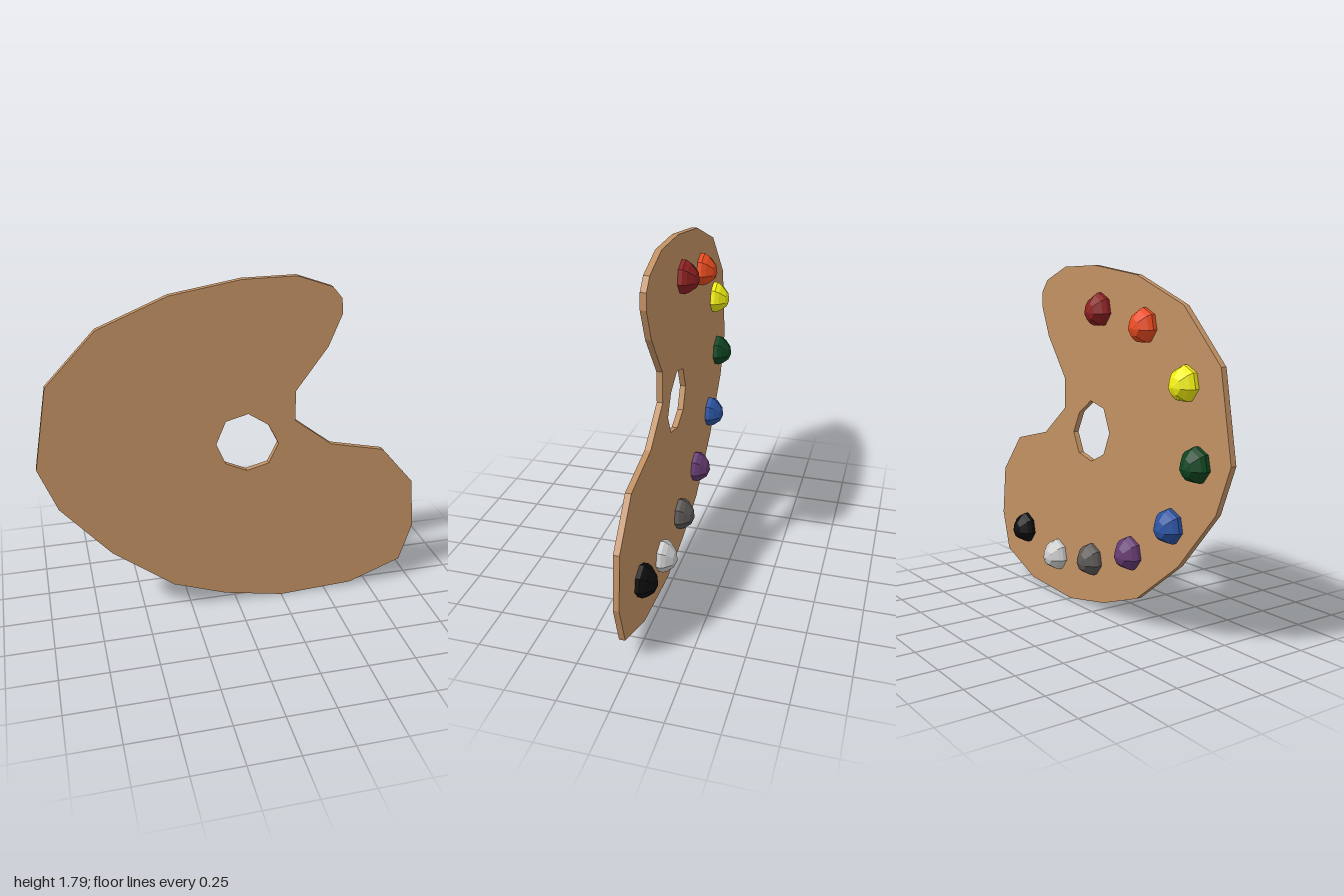
import * as THREE from 'three';

const material = (color) => new THREE.MeshStandardMaterial({ color, flatShading: true });
const points = (list) => list.map(([x, y]) => new THREE.Vector2(x, y));

// Flat wooden board with a thumb hole
function createBoard() {
  const outline = new THREE.Shape(points([
    [0.02, 1.795], [-0.33, 1.74], [-0.675, 1.6], [-0.925, 1.34], [-1, 0.92], [-0.91, 0.69],
    [-0.66, 0.4], [-0.345, 0.16], [-0.065, 0.06], [0.25, 0], [0.65, 0.02], [0.935, 0.13],
    [1, 0.345], [0.97, 0.62], [0.79, 0.83], [0.5, 0.895], [0.3, 1.05], [0.3, 1.21],
    [0.46, 1.43], [0.525, 1.59], [0.52, 1.67], [0.47, 1.73], [0.29, 1.795],
  ]));
  outline.holes.push(new THREE.Path(points([
    [0.055, 1.11], [0.16, 1.04], [0.215, 0.93], [0.165, 0.825],
    [0.05, 0.795], [-0.06, 0.845], [-0.11, 0.96], [-0.06, 1.08],
  ])));
  const geometry = new THREE.ExtrudeGeometry(outline, { depth: 0.03, bevelEnabled: false });
  geometry.translate(0, 0, 0.03);
  const board = new THREE.Mesh(geometry, material(0xc29164));
  board.name = 'board';
  return board;
}

// Faceted dome of paint, rising towards -z, its tip leaning slightly down
function createDabGeometry() {
  const profile = points([[0.083, -0.004], [0.086, 0.022], [0.074, 0.044], [0.042, 0.076], [0, 0.09]]);
  const geometry = new THREE.LatheGeometry(profile, 7);
  geometry.rotateX(-Math.PI / 2);
  const p = geometry.attributes.position;
  for (let i = 0; i < p.count; i++) {
    const height = Math.max(0, -p.getZ(i)) / 0.09;
    p.setY(i, p.getY(i) - 0.015 * height * height);
  }
  geometry.computeVertexNormals();
  return geometry;
}

export function createModel() {
  const model = new THREE.Group();
  model.name = 'paintPalette';
  model.add(createBoard());

  // Paint dabs around the rim
  const dab = createDabGeometry();
  const paints = [
    ['redPaint', 0x8c1f20, -0.04, 1.575],
    ['orangePaint', 0xe84a1e, -0.405, 1.505],
    ['yellowPaint', 0xf0ee10, -0.705, 1.255],
    ['greenPaint', 0x0e4420, -0.79, 0.9],
    ['bluePaint', 0x2a52a0, -0.61, 0.585],
    ['purplePaint', 0x633a70, -0.3, 0.385],
    ['greyPaint', 0x5a5654, 0.035, 0.275],
    ['whitePaint', 0xc4c4c4, 0.37, 0.225],
    ['blackPaint', 0x0c0c0c, 0.705, 0.31],
  ];
  for (const [name, color, x, y] of paints) {
    const mesh = new THREE.Mesh(dab, material(color));
    mesh.name = name;
    mesh.position.set(x, y, 0.03);
    model.add(mesh);
  }
  return model;
}
